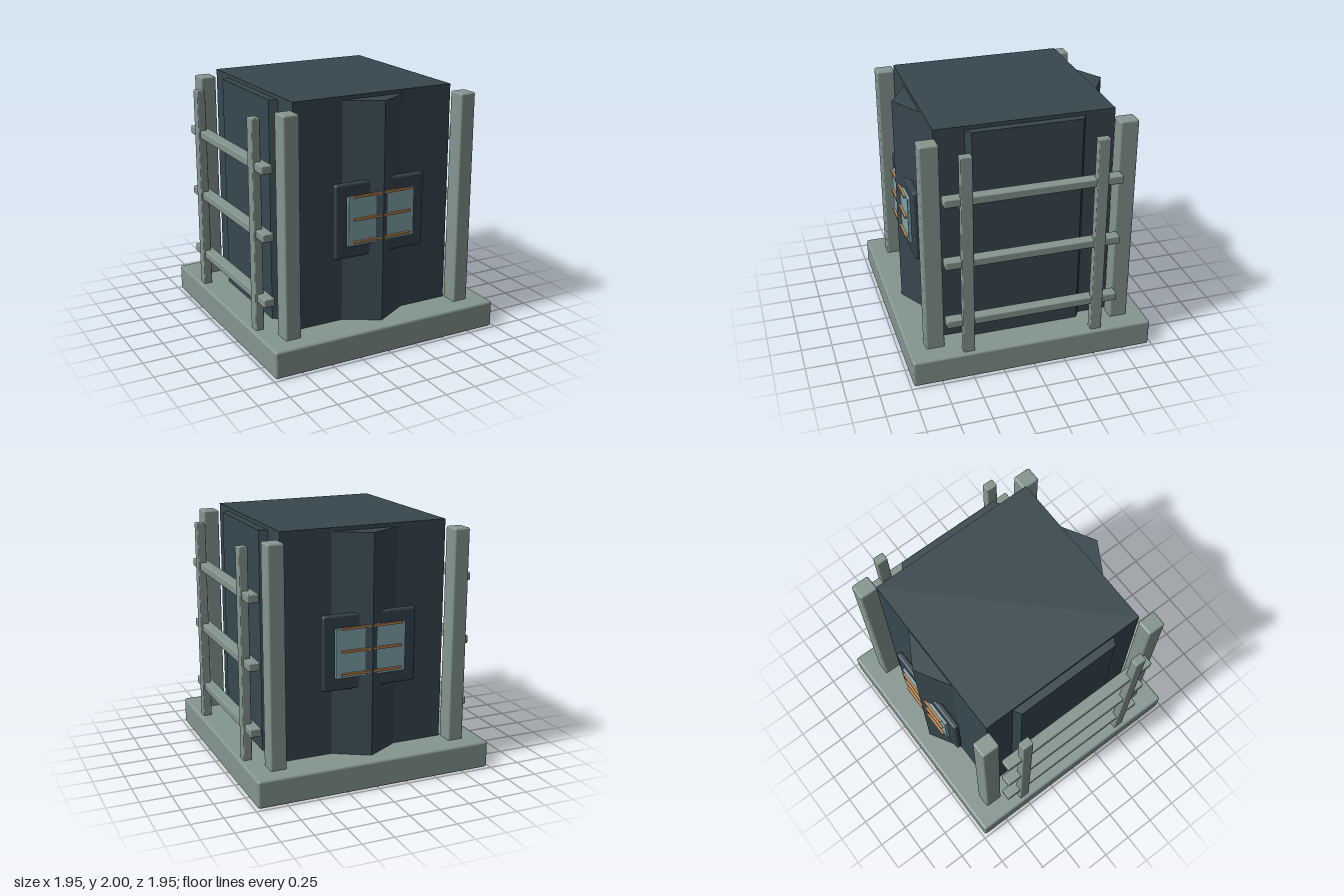
import * as THREE from 'three';
import { RoundedBoxGeometry } from 'three/addons/geometries/RoundedBoxGeometry.js';

function material(name, color) {
  const m = new THREE.MeshStandardMaterial({ color });
  m.name = name;
  return m;
}

export function createModel() {
  const model = new THREE.Group();
  model.name = 'tower';
  const stone = material('grey stone', 0x84958f);
  const wall = material('dark slate', 0x37474f);
  const frame = material('window frame slate', 0x34434d);
  const glass = material('pale blue glass', 0x80a5ac);
  const copper = material('copper', 0xb5824f);

  // Box given by its minimum and maximum corners, with optional rounded edges
  function box(name, mat, [x0, y0, z0], [x1, y1, z1], radius = 0, parent = model) {
    const size = [x1 - x0, y1 - y0, z1 - z0];
    const geometry = radius
      ? new RoundedBoxGeometry(...size, 2, radius)
      : new THREE.BoxGeometry(...size);
    const mesh = new THREE.Mesh(geometry, mat);
    mesh.name = name;
    mesh.position.set((x0 + x1) / 2, (y0 + y1) / 2, (z0 + z1) / 2);
    parent.add(mesh);
    return mesh;
  }

  // Base slab and square block
  box('base', stone, [-0.977, 0, -0.977], [0.977, 0.22, 0.977], 0.02);
  box('block', wall, [-0.68, 0.02, -0.70], [0.68, 2, 0.70]);

  // Six-sided core whose edges break through the block's faces
  const coreGeometry = new THREE.CylinderGeometry(0.857, 0.857, 1.95, 6).toNonIndexed();
  coreGeometry.computeVertexNormals();
  const core = new THREE.Mesh(coreGeometry, wall);
  core.name = 'hexagonalCore';
  core.position.y = 0.995;
  model.add(core);

  // Corner posts, and a ladder of thin posts and rails on each side
  for (const side of [-1, 1]) {
    const label = side > 0 ? 'left' : 'right';
    const ladder = new THREE.Group();
    ladder.name = label + 'Ladder';
    model.add(ladder);
    for (const end of [-1, 1]) {
      const corner = box('cornerPost', stone, [-0.065, 0.2, -0.0735], [0.065, 1.943, 0.0735], 0.015);
      corner.position.x = side * 0.758;
      corner.position.z = end * 0.763;
      const post = box('ladderPost', stone, [-0.034, 0.2, -0.045], [0.034, 1.88, 0.045], 0.008, ladder);
      post.position.x = side * 0.909;
      post.position.z = end * 0.522;
    }
    for (const y of [0.483, 1.002, 1.522]) {
      const rail = box('ladderRail', stone, [-0.045, -0.033, -0.69], [0.045, 0.033, 0.69], 0.01, ladder);
      rail.position.set(side * 0.884, y, 0);
    }
  }

  // Barred windows at the front and back, split by the core's edge
  for (const [label, turn] of [['front', 0], ['back', Math.PI]]) {
    const win = new THREE.Group();
    win.name = label + 'Window';
    win.rotation.y = turn;
    model.add(win);
    box('windowFrame', frame, [-0.388, 0.768, 0.752], [0.388, 1.362, 0.805], 0.02, win);
    box('windowGlass', glass, [-0.288, 0.87, 0.775], [0.288, 1.26, 0.829], 0.004, win);
    for (const y of [0.902, 1.082, 1.262]) {
      box('windowBar', copper, [-0.248, y - 0.009, 0.828], [0.248, y + 0.009, 0.849], 0, win);
    }
  }
  return model;
}
